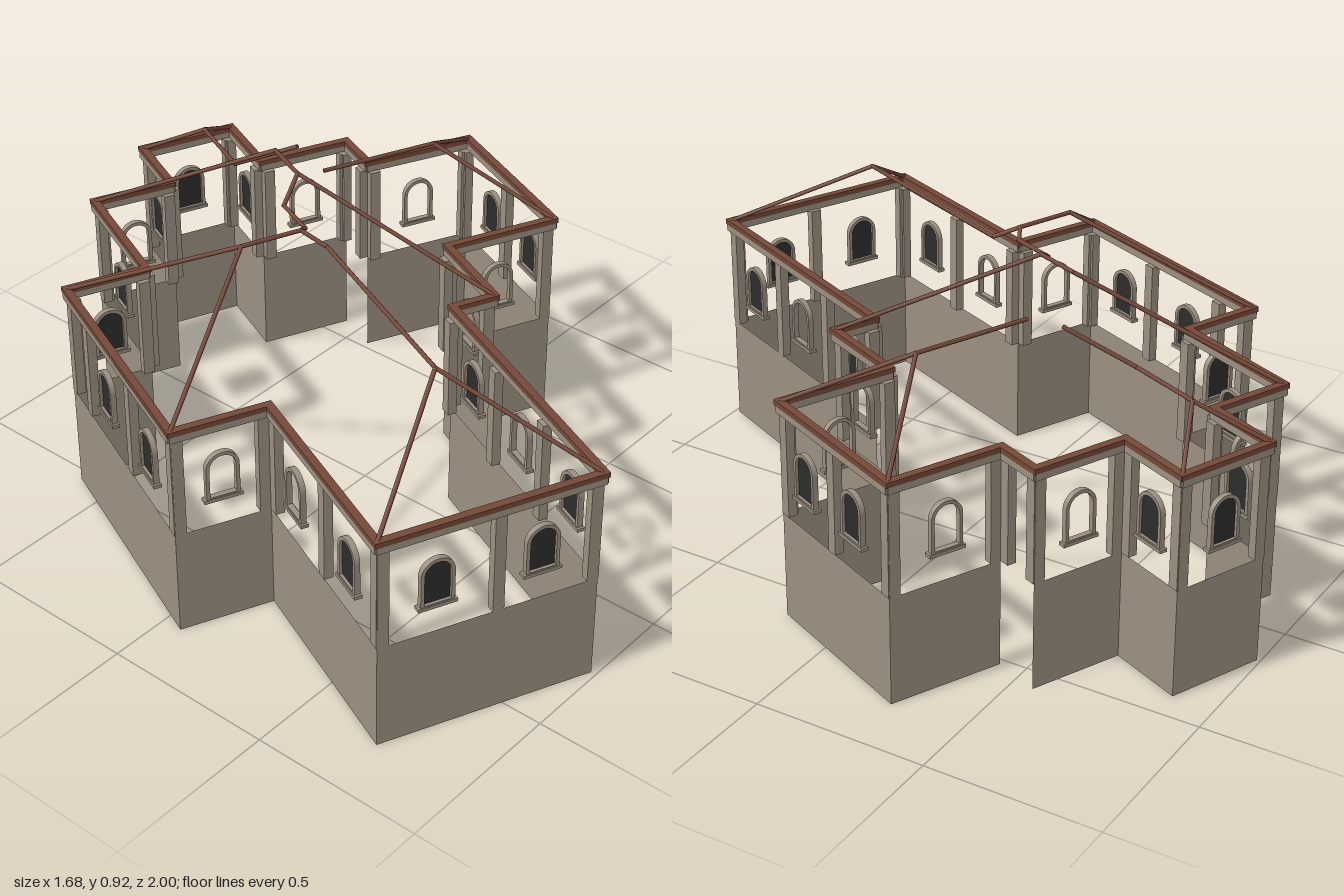
import * as THREE from 'three';

const WALL_TOP = 0.315, POST_TOP = 0.617, EAVE = 0.645;

// Plan corners (x, z), walked so that the outside lies on each edge's local +z.
// w: windows as [position along edge, glazed]; p: posts between corners; open: no lower wall
const EDGES = [
  { at: [-0.825, 0.735], w: [[0.26, 1], [0.73, 1]], p: [0.54] },
  { at: [-0.26, 0.985], w: [[0.18, 1], [0.51, 0], [0.84, 1]], p: [0.345, 0.665] },
  { at: [0.075, 0.245], w: [], p: [], open: true },
  { at: [0.192, 0.297], w: [[0.5, 0]], p: [] },
  { at: [0.307, 0.042], w: [[0.48, 0]], p: [] },
  { at: [0.615, 0.18], w: [[0.24, 1], [0.68, 1]], p: [0.48] },
  { at: [0.822, -0.29], w: [[0.5, 0]], p: [] },
  { at: [0.52, -0.43], w: [], p: [], open: true },
  { at: [0.575, -0.56], w: [[0.5, 0]], p: [] },
  { at: [0.323, -0.672], w: [[0.5, 1]], p: [] },
  { at: [0.415, -0.88], w: [[0.5, 1]], p: [] },
  { at: [0.15, -0.99], w: [[0.5, 1]], p: [] },
  { at: [0.06, -0.787], w: [[0.5, 0]], p: [] },
  { at: [-0.157, -0.882], w: [[0.5, 1]], p: [] },
  { at: [-0.318, -0.518], w: [[0.5, 1]], p: [] },
  { at: [-0.533, -0.61], w: [[0.38, 1], [0.78, 1]], p: [0.18, 0.59] },
  { at: [-0.825, 0.06], w: [[0.5, 0]], p: [] },
  { at: [-0.578, 0.17], w: [[0.25, 0], [0.75, 1]], p: [0.5] },
];

// Ridge and hip lines of the roof, each a chain of points
const ROOF = (() => {
  const c = i => [EDGES[i].at[0], EAVE, EDGES[i].at[1]];
  const south = [-0.415, 0.855, 0.575], west = [-0.35, 0.89, -0.125], east = [0.49, 0.82, -0.16];
  const north = [0.225, 0.745, -0.805], topA = [-0.01, 0.918, -0.23], topB = [0.045, 0.918, -0.36];
  return [
    [c(0), south, c(1)],
    [c(15), west, c(16)],
    [c(5), east, c(6)],
    [c(10), north, c(11)],
    [c(3), topA, topB, c(13)],
    [south, [-0.165, 0.855, 0.01], [-0.19, 0.89, -0.06], west],
    [[-0.19, 0.89, -0.06], [-0.15, 0.87, -0.08], [-0.1, 0.87, -0.2], topA],
    [east, [0.175, 0.82, -0.295]],
    [north, [0.135, 0.745, -0.6], [0.2, 0.84, -0.42]],
  ];
})();

function archShape(half, bottom, spring) {
  const s = new THREE.Shape();
  s.moveTo(-half, bottom);
  s.lineTo(half, bottom);
  s.lineTo(half, spring);
  s.absarc(0, spring, half, 0, Math.PI, false);
  s.lineTo(-half, bottom);
  return s;
}

export function createModel() {
  const mat = (name, color, side = THREE.FrontSide) => {
    const m = new THREE.MeshStandardMaterial({ color, side });
    m.name = name;
    return m;
  };
  const stone = mat('stone', 0x9a8f80, THREE.DoubleSide);
  const timber = mat('timber', 0x744838);
  const glass = mat('dark glass', 0x2c2c2e, THREE.DoubleSide);

  const model = new THREE.Group();
  model.name = 'pavilion';

  const add = (parent, name, geo, material, x = 0, y = 0, z = 0) => {
    const m = new THREE.Mesh(geo, material);
    m.name = name;
    m.position.set(x, y, z);
    parent.add(m);
    return m;
  };
  const box = (w, h, d) => new THREE.BoxGeometry(w, h, d);

  // Shared window pieces
  const frameShape = archShape(0.047, 0.4, 0.498);
  frameShape.holes.push(archShape(0.037, 0.41, 0.498));
  const frameGeo = new THREE.ExtrudeGeometry(frameShape, { depth: 0.016, bevelEnabled: false, curveSegments: 10 });
  const glassGeo = new THREE.ShapeGeometry(archShape(0.038, 0.408, 0.498), 10);
  const sillGeo = box(0.108, 0.01, 0.022);
  const postGeo = box(0.032, POST_TOP - WALL_TOP, 0.026);

  const addWindow = (parent, x, glazed) => {
    const win = new THREE.Group();
    win.name = 'window';
    win.position.x = x;
    add(win, 'windowFrame', frameGeo, stone, 0, 0, -0.008);
    add(win, 'windowSill', sillGeo, stone, 0, 0.401, 0);
    if (glazed) add(win, 'windowGlass', glassGeo, glass);
    parent.add(win);
  };

  // One bay group per plan edge, local x running along the wall
  EDGES.forEach((edge, i) => {
    const [x0, z0] = edge.at;
    const [x1, z1] = EDGES[(i + 1) % EDGES.length].at;
    const len = Math.hypot(x1 - x0, z1 - z0);
    const side = new THREE.Group();
    side.name = 'wallSide';
    side.position.set((x0 + x1) / 2, 0, (z0 + z1) / 2);
    side.rotation.y = -Math.atan2(z1 - z0, x1 - x0);
    const along = t => (t - 0.5) * len;

    if (!edge.open) {
      add(side, 'lowerWall', new THREE.PlaneGeometry(len, WALL_TOP), stone, 0, WALL_TOP / 2, 0);
    }
    // Corner post halves and intermediate posts
    const postY = (WALL_TOP + POST_TOP) / 2;
    for (const s of [-1, 1]) add(side, 'cornerPost', postGeo, stone, s * (len / 2 - 0.016), postY, -0.011);
    edge.p.forEach(t => add(side, 'post', postGeo, stone, along(t), postY, -0.011));
    edge.w.forEach(([t, glazed]) => addWindow(side, along(t), glazed));

    // Beam and timber eave
    add(side, 'beam', box(len + 0.01, 0.02, 0.02), stone, 0, 0.625, 0);
    add(side, 'eave', box(len + 0.02, 0.015, 0.022), timber, 0, 0.6425, 0);
    model.add(side);
  });

  // Roof ridge and hip poles
  const up = new THREE.Vector3(0, 1, 0);
  for (const chain of ROOF) {
    for (let i = 0; i + 1 < chain.length; i++) {
      const a = new THREE.Vector3(...chain[i]), b = new THREE.Vector3(...chain[i + 1]);
      const dir = b.clone().sub(a);
      const pole = add(model, 'roofPole', new THREE.CylinderGeometry(0.006, 0.006, dir.length() + 0.006, 8), timber);
      pole.position.copy(a).add(b).multiplyScalar(0.5);
      pole.quaternion.setFromUnitVectors(up, dir.normalize());
    }
  }
  return model;
}
